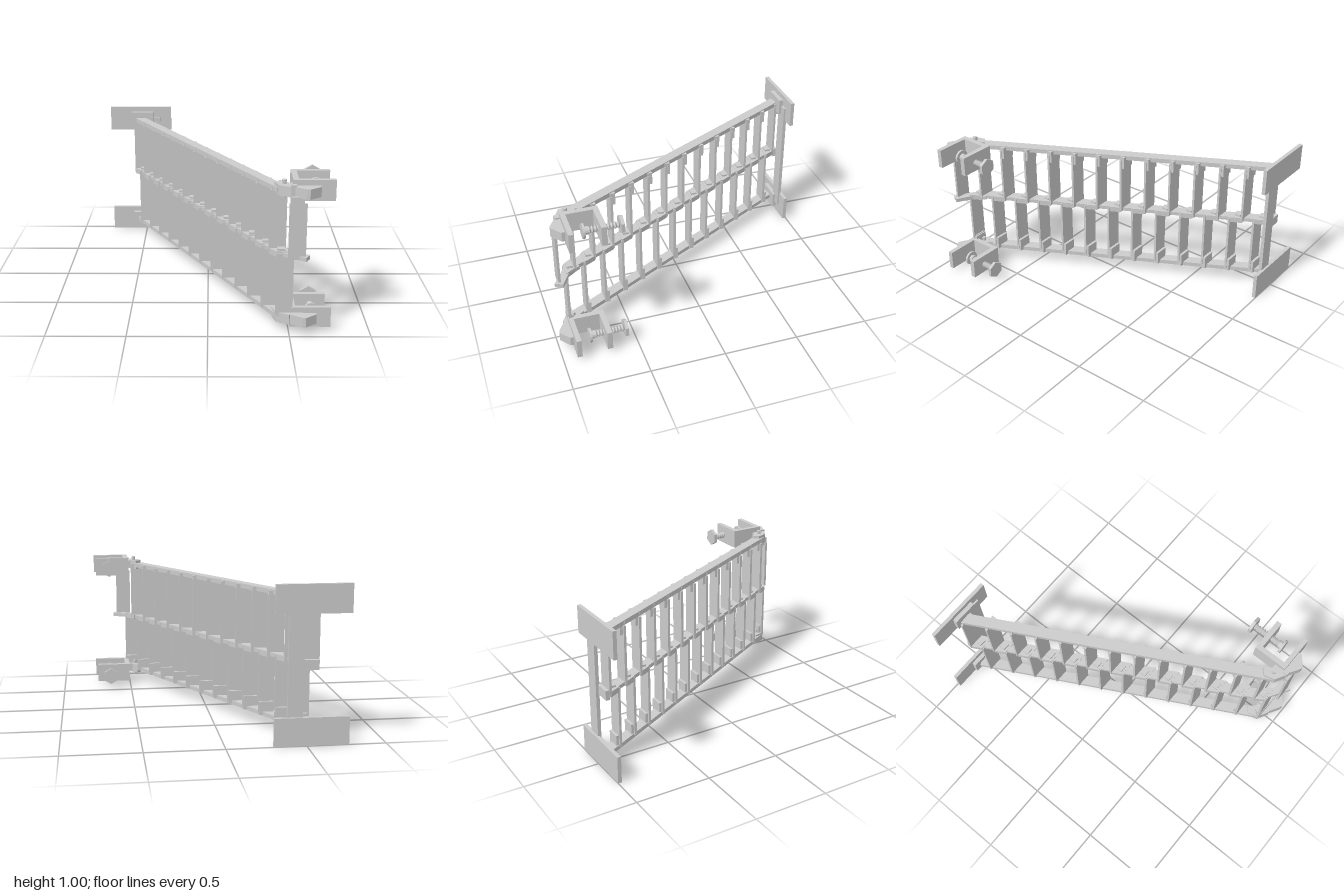
import * as THREE from 'three';

export function createModel() {
  const root = new THREE.Group();
  const mat = new THREE.MeshStandardMaterial({ color: 0xcccccc, flatShading: true });

  const add = (name, geo, parent = root) => {
    const m = new THREE.Mesh(geo, mat);
    m.name = name;
    parent.add(m);
    return m;
  };
  // axis-aligned box from its limits
  const box = (name, x0, x1, y0, y1, z0, z1, parent) =>
    add(name, new THREE.BoxGeometry(x1 - x0, y1 - y0, z1 - z0), parent)
      .position.set((x0 + x1) / 2, (y0 + y1) / 2, (z0 + z1) / 2);
  // upright prism over an outline of [x, z] points
  const prism = (name, pts, y0, y1, parent) => {
    const shape = new THREE.Shape(pts.map(([x, z]) => new THREE.Vector2(x, -z)));
    const geo = new THREE.ExtrudeGeometry(shape, { depth: y1 - y0, bevelEnabled: false });
    add(name, geo.rotateX(-Math.PI / 2).translate(0, y0, 0), parent);
  };
  // rod along z
  const rod = (name, r, sides, x, y, z0, z1, parent) =>
    add(name, new THREE.CylinderGeometry(r, r, z1 - z0, sides).rotateX(Math.PI / 2), parent)
      .position.set(x, y, (z0 + z1) / 2);

  // Straight diagonal rails
  const slope = 0.538;
  const railX = z => -0.54 + (z + 0.96) * slope;
  const rail = (name, y0, y1) => {
    const za = -0.95, zb = 0.87;
    const m = add(name, new THREE.BoxGeometry(0.07, y1 - y0, Math.hypot(zb - za, (zb - za) * slope)));
    m.position.set(railX((za + zb) / 2), (y0 + y1) / 2, (za + zb) / 2);
    m.rotation.y = Math.atan(slope);
  };
  rail('topRail', 0.89, 0.92);
  rail('middleRail', 0.49, 0.515);
  rail('bottomRail', 0.08, 0.108);
  prism('middleRailEnd', [[0.39, 0.84], [0.46, 0.8], [0.51, 0.88], [0.615, 0.94], [0.59, 0.99], [0.46, 0.91]], 0.487, 0.513);

  // Slats: an upper and a lower row, staggered by half a pitch
  const pitch = 0.1474, half = 0.053;
  const slat = (row, x, z) => {
    const up = row === 'upper';
    box(row + 'Slat', x - half, x + half, up ? 0.49 : 0.1, up ? 0.89 : 0.51, z - 0.008, z + 0.008);
    const [y0, y1] = up ? [0.83, 0.914] : [0.085, 0.175];
    box(row + 'SlatBracket', x - half + 0.012, x + half - 0.004, y0, y1, z - 0.026, z + 0.008);
  };
  // Skewed joint on the middle rail, linking an upper slat to the next lower one
  const joint = (xa, za, xb, zb) => {
    prism('slatJoint', [[xa - half, za], [xa + half, za], [xb + half, zb], [xb - half, zb]], 0.483, 0.519);
    const x = (xa + xb) / 2, z = (za + zb) / 2;
    box('jointFastener', x - 0.025, x + 0.025, 0.47, 0.532, z - 0.02, z + 0.02);
  };
  for (let k = 0; k < 13; k++) {
    const zu = -0.936 + k * pitch;
    const zl = k < 12 ? zu + 0.076 : 0.898;
    const xl = k < 12 ? railX(zl) : 0.47;
    slat('upper', railX(zu), zu);
    slat('lower', xl, zl);
    joint(railX(zu), zu, xl, zl);
  }
  // Last upper slat on the turned end of the middle rail
  box('endSlat', 0.482, 0.588, 0.49, 0.845, 0.949, 0.965);
  box('endSlatBracket', 0.49, 0.57, 0.825, 0.885, 0.925, 0.965);

  // Wall end: plates, mounts, upright
  for (const y of [0.91, 0.09]) {
    box('wallPlate', -0.765, -0.295, y - 0.09, y + 0.09, -1, -0.975);
    box('railMount', -0.6, -0.43, y - 0.055, y + 0.055, -0.975, -0.945);
  }
  box('wallUpright', -0.475, -0.38, 0.08, 0.92, -0.985, -0.962);
  box('middleRailMount', -0.575, -0.475, 0.468, 0.532, -0.968, -0.94);

  // Clamp end: C-shaped clamp with threaded screw, hinge and angled foot
  const thread = [];
  for (let i = 0; i <= 22; i++) thread.push(new THREE.Vector2(i % 2 ? 0.024 : 0.015, i * 0.01));
  for (const [name, y] of [['topClamp', 0.91], ['bottomClamp', 0.09]]) {
    const g = new THREE.Group();
    g.name = name;
    root.add(g);
    prism('clampBody', [[0.505, 0.675], [0.745, 0.675], [0.745, 0.71], [0.54, 0.71],
      [0.54, 0.88], [0.76, 0.88], [0.76, 0.912], [0.505, 0.912]], y - 0.065, y + 0.065, g);
    add('screwThread', new THREE.LatheGeometry(thread, 12).rotateX(Math.PI / 2), g).position.set(0.65, y, 0.575);
    rod('screwHead', 0.06, 6, 0.65, y, 0.555, 0.576, g);
    rod('screwNeck', 0.026, 12, 0.65, y, 0.772, 0.796, g);
    rod('screwFoot', 0.048, 16, 0.65, y, 0.795, 0.81, g);
    box('hingeTab', 0.45, 0.51, y - 0.028, y + 0.028, 0.84, 0.88, g);
    prism('hingeLink', [[0.4, 0.83], [0.44, 0.79], [0.5, 0.87], [0.52, 0.92], [0.5, 0.945], [0.42, 0.9]], y - 0.035, y + 0.03, g);
    prism('angledFoot', [[0.49, 0.91], [0.67, 0.91], [0.67, 0.935], [0.6, 0.99], [0.58, 0.985], [0.49, 0.93]], y - 0.033, y + 0.03, g);
    add('hingePin', new THREE.CylinderGeometry(0.014, 0.014, 0.11, 10), g).position.set(0.455, y, 0.865);
  }
  // Short posts tying the end slats to the hinges
  box('upperEndPost', 0.49, 0.525, 0.83, 0.95, 0.91, 0.945);
  box('lowerEndPost', 0.43, 0.51, 0.09, 0.18, 0.88, 0.91);

  return root;
}
